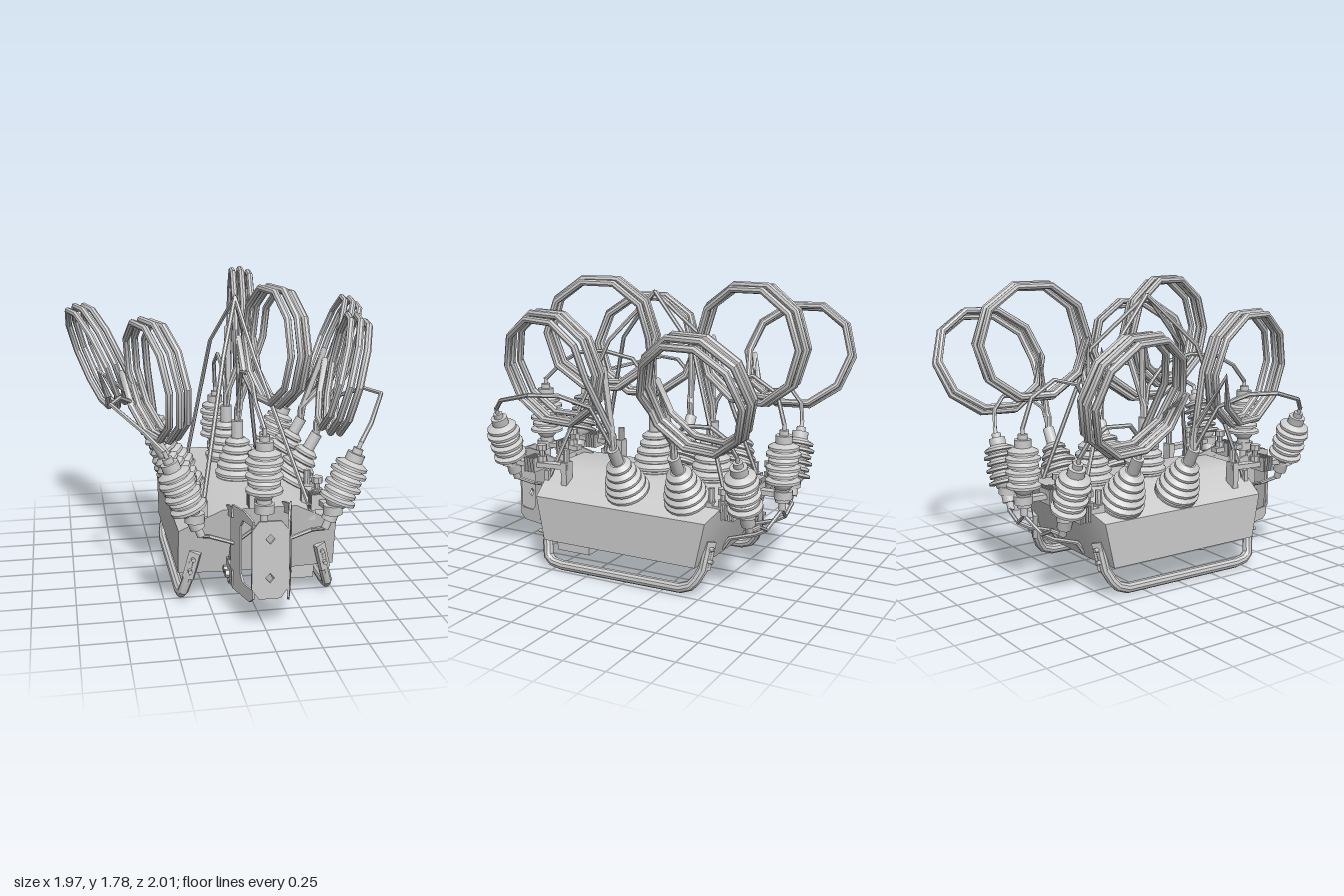
import * as THREE from 'three';
import { toCreasedNormals } from 'three/addons/utils/BufferGeometryUtils.js';
import { ConvexGeometry } from 'three/addons/geometries/ConvexGeometry.js';

const V = (x, y, z) => new THREE.Vector3(x, y, z);
const mat = new THREE.MeshStandardMaterial({ color: 0xcccccc, side: THREE.DoubleSide });
const CX = 0.015; // symmetry axis of the fittings

// Straight-segment path whose tube rings sit exactly on the given points
class Polyline extends THREE.Curve {
  constructor(pts) { super(); this.pts = pts; }
  getPoint(t, out = V()) {
    const n = this.pts.length - 1, i = Math.min(n - 1, Math.floor(t * n + 1e-6));
    return out.lerpVectors(this.pts[i], this.pts[i + 1], t * n - i);
  }
  getPointAt(t, out) { return this.getPoint(t, out); }
  getTangentAt(t, out = V()) {
    const n = this.pts.length - 1, i = Math.round(t * n);
    const a = this.pts[Math.max(0, i - 1)], b = this.pts[i], c = this.pts[Math.min(n, i + 1)];
    const d1 = b.clone().sub(a).normalize(), d2 = c.clone().sub(b).normalize();
    return out.addVectors(d1, d2).normalize();
  }
}

function add(parent, name, geo, x = 0, y = 0, z = 0) {
  const m = new THREE.Mesh(toCreasedNormals(geo, 0.6), mat);
  m.name = name;
  m.position.set(x, y, z);
  parent.add(m);
  return m;
}
const box = (p, name, w, h, d, x, y, z) => add(p, name, new THREE.BoxGeometry(w, h, d), x, y, z);
const cyl = (p, name, r, h, x, y, z, n = 12) => add(p, name, new THREE.CylinderGeometry(r, r, h, n), x, y, z);
const cable = (p, name, pts, r = 0.013, sides = 6) =>
  add(p, name, new THREE.TubeGeometry(new Polyline(pts), pts.length - 1, r, sides, false));
const lathe = (p, name, prof) =>
  add(p, name, new THREE.LatheGeometry(prof.map(([r, y]) => new THREE.Vector2(r, y)), 20));

// Small bar between two points
function bar(p, name, a, b, w, h) {
  const m = box(p, name, w, h, a.distanceTo(b), 0, 0, 0);
  m.position.copy(a).add(b).multiplyScalar(0.5);
  m.lookAt(b);
  return m;
}

// Stepped conical bushing with a terminal post
function bushing(parent, side, z) {
  const prof = [[0, -0.02], [0.13, -0.02], [0.13, 0.015]];
  [0.135, 0.125, 0.11, 0.092, 0.075].forEach((r, i) => {
    const y = 0.02 + i * 0.047;
    prof.push([r - 0.025, y], [r, y + 0.008], [r, y + 0.024], [r - 0.03, y + 0.047]);
  });
  prof.push([0.036, 0.255], [0.036, 0.36], [0, 0.36]);
  const m = lathe(parent, 'bushing', prof);
  m.position.set(CX + side * 0.32, side ? 0.51 : 0.57, z);
  m.rotation.z = -side * Math.PI / 6;
  m.updateMatrix();
  return V(0, 0.35, 0).applyMatrix4(m.matrix);
}

// Surge arrester with sheds; returns its lower and upper cable ends
function arrester(parent, side, x, y, z) {
  const prof = [[0, -0.02], [0.022, -0.02], [0.022, 0.03], [0.042, 0.03], [0.042, 0.11], [0.06, 0.13]];
  for (let i = 0; i < 6; i++) {
    const r = i % 2 ? 0.09 : 0.102, h = 0.145 + i * 0.04;
    prof.push([0.065, h], [r, h + 0.004], [r, h + 0.02], [0.07, h + 0.031]);
  }
  prof.push([0.05, 0.385], [0.05, 0.43], [0.028, 0.43], [0.028, 0.46], [0.012, 0.46], [0.012, 0.5], [0, 0.5]);
  const m = lathe(parent, 'arrester', prof);
  m.position.set(CX + side * x, y, z);
  m.rotation.z = -side * 0.38;
  m.updateMatrix();
  return [V(0, -0.02, 0), V(0, 0.49, 0)].map(p => p.applyMatrix4(m.matrix));
}

// Coil of faceted turns in the plane (u, v), outer turns smaller, with leads to its terminal
function coil(parent, c, u, v, start, terminal) {
  u.normalize(); v.normalize();
  const n = u.clone().cross(v).normalize(), pts = [], seg = 10, turns = 3;
  const dir = start ? -1 : 1;
  pts.push(terminal.clone(), terminal.clone().add(V(0, 0.08, 0)));
  for (let i = 0; i <= seg * turns; i++) {
    const a = start + dir * i / seg * Math.PI * 2, t = i / (seg * turns) - 0.5;
    const R = 0.345 - 0.13 * t * t;
    pts.push(c.clone().addScaledVector(u, R * Math.cos(a)).addScaledVector(v, R * Math.sin(a))
      .addScaledVector(n, t * 0.16));
  }
  pts.push(terminal.clone().add(V(0.015, 0.1, 0)), terminal.clone());
  cable(parent, 'cableCoil', pts, 0.021, 8);
}

export function createModel() {
  const g = new THREE.Group();

  // Tank with sloping shoulders and flared ends
  const tank = [];
  for (const s of [-1, 1]) {
    for (const [x, y, f, b] of [[0.455, 0.18, 0.56, -0.47], [0.455, 0.45, 0.61, -0.53],
      [0.21, 0.58, 0.66, -0.62], [0.21, 0.18, 0.58, -0.49]])
      tank.push(V(0.033 + s * x, y, f), V(0.033 + s * x, y, b));
  }
  add(g, 'tank', new ConvexGeometry(tank));
  box(g, 'junctionBox', 0.24, 0.1, 0.23, 0.26, 0.137, 0.42);

  // Drain hook under the tank
  cyl(g, 'hookStem', 0.016, 0.08, -0.1, 0.15, 0.42);
  const ring = add(g, 'hookRing', new THREE.TorusGeometry(0.035, 0.01, 6, 14), -0.1, 0.078, 0.42);
  ring.rotation.y = Math.PI / 2;

  // Skid rails on flat end straps
  for (const s of [-1, 1]) {
    const P = (x, y, z) => V(0.033 + s * x, y, z);
    cable(g, 'skidRail', [P(0.375, 0.27, 0.585), P(0.4, 0.15, 0.57), P(0.425, 0.07, 0.55), P(0.432, 0.04, 0.51),
      P(0.435, 0.03, 0.44), P(0.435, 0.038, -0.37), P(0.43, 0.06, -0.43), P(0.42, 0.1, -0.465),
      P(0.4, 0.16, -0.495), P(0.375, 0.27, -0.51)], 0.031, 10);
    for (const [z, o] of [[0.605, 0.02], [-0.525, -0.02]]) {
      bar(g, 'railStrap', P(0.36, 0.32, z), P(0.4, 0.16, z - o), 0.03, 0.065);
      for (const y of [0.21, 0.28]) {
        const b = cyl(g, 'strapBolt', 0.012, 0.06, 0.033 + s * (0.45 - y * 0.27), y, z);
        b.rotation.x = Math.PI / 2;
      }
    }
  }

  // Pole mounting bracket: drilled front plate, windowed wings and arms
  const plate = new THREE.Shape([[-0.1, 0.24], [-0.06, 0.18], [0.06, 0.18], [0.1, 0.24], [0.1, 0.57],
    [0.06, 0.62], [-0.06, 0.62], [-0.1, 0.57]].map(p => new THREE.Vector2(...p)));
  for (const y of [0.3, 0.52])
    plate.holes.push(new THREE.Path([[0, y - 0.028], [-0.025, y], [0, y + 0.028], [0.025, y]].map(p => new THREE.Vector2(...p))));
  add(g, 'bracketPlate', new THREE.ExtrudeGeometry(plate, { depth: 0.015, bevelEnabled: false }), 0.02, 0, 0.98);
  const wing = new THREE.Shape([[0, 0.18], [0.04, 0.15], [0.25, 0.15], [0.27, 0.25], [0.27, 0.58],
    [0.25, 0.64], [0.1, 0.645], [0, 0.62]].map(p => new THREE.Vector2(...p)));
  wing.holes.push(new THREE.Path([[0.015, 0.23], [0.015, 0.59], [0.12, 0.59], [0.15, 0.55], [0.15, 0.27], [0.12, 0.23]]
    .map(p => new THREE.Vector2(...p))));
  for (const s of [-1, 1]) {
    const w = add(g, 'bracketWing', new THREE.ExtrudeGeometry(wing, { depth: 0.012, bevelEnabled: false }), 0.02 + s * 0.095, 0, 0.99);
    w.rotation.y = Math.PI / 2 - s * 0.27;
    bar(g, 'lowerArm', V(0.02 + s * 0.16, 0.21, 0.76), V(0.02 + s * 0.16, 0.23, 0.56), 0.015, 0.1);
    bar(g, 'upperArm', V(0.02 + s * 0.16, 0.6, 0.76), V(0.02 + s * 0.16, 0.56, 0.6), 0.015, 0.06);
    for (const z of [0.62, 0.68]) {
      const b = cyl(g, 'armBolt', 0.024, 0.05, 0.02 + s * 0.165, 0.21, z, 6);
      b.rotation.z = Math.PI / 2;
    }
  }

  // Bushings, arresters, support arms and jumper cables
  const T = {}, low = { f: [], b: [] };
  for (const s of [-1, 0, 1]) {
    T['f' + s] = bushing(g, s, 0.045);
    T['b' + s] = bushing(g, s, -0.35);
    const [fl, ft] = s ? arrester(g, s, 0.35, 0.525, 0.845) : arrester(g, 0, 0, 0.59, 0.85);
    const [bl, bt] = s ? arrester(g, s, 0.31, 0.41, -0.73) : arrester(g, 0, 0, 0.465, -0.805);
    low.f.push(fl); low.b.push(bl);
    const X = x => CX + s * x;
    cable(g, 'frontJumper', s
      ? [ft, V(X(0.62), 1.06, 0.74), V(X(0.78), 1.15, 0.42), V(X(0.72), 1.15, 0.26), V(X(0.62), 1.08, 0.12), T['f' + s]]
      : [ft, V(-0.01, 1.2, 0.73), V(0, 1.27, 0.6), V(0.01, 1.295, 0.4), V(0.01, 1.26, 0.2), V(0.02, 1.12, 0.08), T.f0]);
    cable(g, 'backJumper', s
      ? [bt, V(X(0.55), 0.97, -0.7), V(X(0.59), 1.04, -0.62), V(X(0.58), 1.03, -0.46), V(X(0.53), 0.95, -0.37), T['b' + s]]
      : [bt, V(0, 1.13, -0.75), V(0, 1.22, -0.6), V(0, 1.18, -0.45), V(0.01, 1.05, -0.37), T.b0]);

    // Arms with stacked bolt clamps
    for (const [y, z0, z1, zc, x0, x1] of [[0.62, 0.46, 0.88, 0.65, 0.33, 0.38], [0.51, -0.48, -0.75, -0.58, 0.32, 0.345]]) {
      const yy = y + (s ? 0 : 0.03), end = s || z1 > 0 ? z1 : -0.83;
      bar(g, 'arresterArm', V(X(x0), yy, s || z0 < 0 ? z0 : 0.6), V(X(x1), yy, end), 0.06, 0.03);
      cyl(g, 'armCollar', 0.055, 0.05, X(x1), yy, end - Math.sign(z1) * 0.02);
      for (let k = 0; k < 3; k++) cyl(g, 'clampNut', k % 2 ? 0.018 : 0.032, 0.035, X(x0 + 0.015), yy + 0.035 + k * 0.035, zc, 8);
      for (let k = 0; k < 4; k++) box(g, 'clampFin', 0.12, 0.09, 0.01, X(x0 + 0.02), yy, zc + Math.sign(z1) * (0.02 + k * 0.022));
      if (s) {
        box(g, 'armFoot', 0.07, 0.16, 0.04, X(x0), yy - 0.05, z0 + Math.sign(z1) * 0.02);
        cyl(g, 'footBolt', 0.02, 0.1, X(x0), yy + 0.06, z0 + Math.sign(z1) * 0.02, 8);
      }
    }
  }

  // Earth leads linking arrester feet, dropping to the tank beside the bracket
  for (const [k, z, y, tz, ty] of [['f', 0.76, 0.42, 0.59, 0.22], ['b', -0.77, 0.36, -0.49, 0.2]]) {
    const [a, m, b] = low[k], dz = Math.sign(z);
    cable(g, 'earthLink', [a, V(a.x + 0.05, y + 0.05, z), V(-0.13, y, z), m, V(0.16, y, z), V(b.x - 0.05, y + 0.05, z), b], 0.012);
    for (const x of [-0.13, 0.16])
      cable(g, 'earthLead', [V(x, y, z), V(x, y - 0.04, z - dz * 0.07), V(x, ty + 0.07, tz + dz * 0.05), V(x, ty, tz)], 0.014);
  }

  // Cable coils on each bushing terminal
  coil(g, V(0.175, 1.43, 0.32), V(0.16, 0, 0.67), V(0, 1, 0), Math.PI, T.f0);
  coil(g, V(0.15, 1.43, -0.65), V(-0.11, 0, 0.7), V(0, 1, 0), 0, T.b0);
  coil(g, V(0.57, 1.27, 0.4), V(-0.12, 0, 0.7), V(0.15, 0.7, 0), Math.PI, T.f1);
  coil(g, V(-0.515, 1.27, 0.39), V(0.2, 0, 0.68), V(-0.1, 0.7, 0), Math.PI, T['f-1']);
  coil(g, V(0.785, 1.245, -0.615), V(-0.14, 0, 0.69), V(0.25, 0.68, 0), 0, T.b1);
  coil(g, V(-0.79, 1.235, -0.585), V(0.14, 0, 0.68), V(-0.25, 0.68, 0), 0, T['b-1']);

  // Four-legged lifting sling: foot x, foot z, knee x
  const peak = V(0, 1.68, 0.05);
  for (const [x, z, kx] of [[-0.22, -0.56, -0.1], [0.26, -0.56, 0.12], [-0.29, 0.6, -0.12], [0.34, 0.62, 0.06]]) {
    const foot = V(x, 0.52, z), knee = V(kx, 1.37, z > 0 ? 0.34 : -0.27);
    cable(g, 'slingRope', [peak, knee, foot], 0.013);
    box(g, 'slingLug', 0.04, 0.1, 0.03, x, 0.53, z);
  }
  return g;
}
